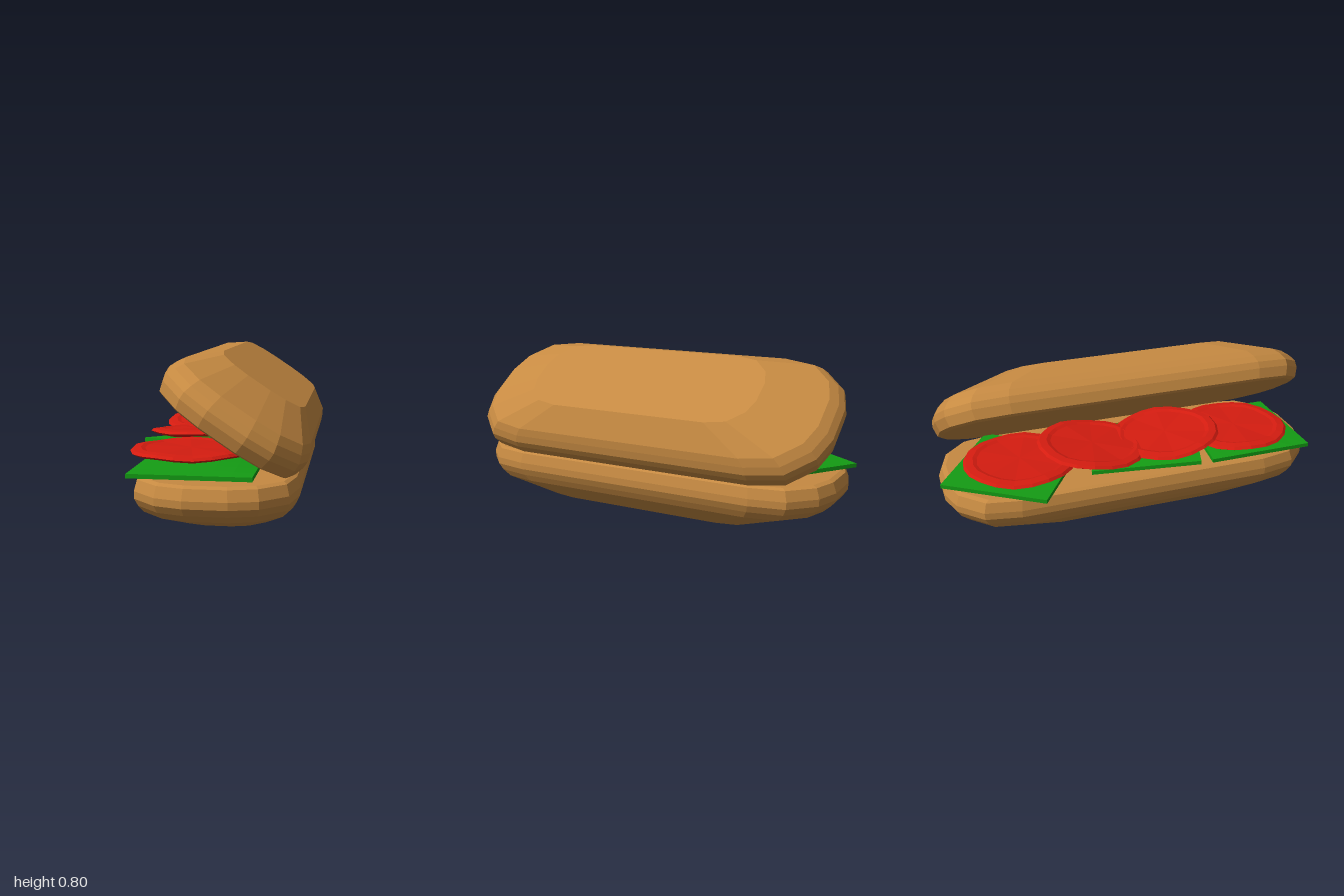
import * as THREE from 'three';

const material = (color) => new THREE.MeshStandardMaterial({ color, flatShading: true });

// Half bun: stadium-shaped rings [y, half width, half length], closed by flat caps
function bunGeometry() {
  const rings = [
    [0, 0.235, 0.63], [0.095, 0.345, 0.925], [0.13, 0.365, 0.965], [0.165, 0.38, 0.988],
    [0.2, 0.38, 0.99], [0.25, 0.367, 0.972], [0.26, 0.352, 0.95],
  ];
  const quarter = [[1, 0], [0.91, 0.53], [0.6, 0.88], [0.26, 1]];
  const end = [...quarter, ...quarter.map(([x, z]) => [-x, z]).reverse()];
  const n = end.length * 2;
  const positions = [], index = [];
  for (const [y, w, l] of rings) {
    const depth = 0.88 * w;
    for (const s of [1, -1]) {
      for (const [x, z] of end) positions.push(s * x * w, y, s * (l - depth + z * depth));
    }
  }
  for (let r = 0; r < rings.length - 1; r++) {
    for (let i = 0; i < n; i++) {
      const a = r * n + i, b = r * n + (i + 1) % n;
      index.push(a, a + n, b, b, a + n, b + n);
    }
  }
  const top = (rings.length - 1) * n;
  for (let i = 1; i < n - 1; i++) {
    index.push(0, i, i + 1, top, top + i + 1, top + i);
  }
  const geometry = new THREE.BufferGeometry();
  geometry.setAttribute('position', new THREE.Float32BufferAttribute(positions, 3));
  geometry.setIndex(index);
  const flat = geometry.toNonIndexed();
  flat.computeVertexNormals();
  return flat;
}

// Move each vertex up or down by a rule of its x and z
function displace(geometry, rule) {
  const p = geometry.attributes.position;
  for (let i = 0; i < p.count; i++) p.setY(i, p.getY(i) + rule(p.getX(i), p.getZ(i)));
  geometry.computeVertexNormals();
  return geometry;
}

// Thin square leaf, bent by a rule
function leafGeometry(rule) {
  return displace(new THREE.BoxGeometry(0.555, 0.02, 0.555, 6, 1, 6), rule);
}

// Round slice with a raised, slightly wavy rim
function sliceGeometry() {
  const profile = [
    [0, -0.012], [0.262, -0.012], [0.284, 0], [0.272, 0.012], [0.235, 0.017], [0.215, 0.011], [0, 0.011],
  ].map(([x, y]) => new THREE.Vector2(x, y));
  return displace(new THREE.LatheGeometry(profile, 20), (x, z) => {
    const r = Math.hypot(x, z);
    return r > 0.1 ? 0.004 * Math.sin(5 * Math.atan2(z, x)) * (r / 0.28) : 0;
  });
}

export function createModel() {
  const model = new THREE.Group();
  const bread = material(0xc68a42);
  const green = material(0x149c14);
  const red = material(0xd41c10);

  const add = (name, geometry, mat, position, rotation = [0, 0, 0]) => {
    const mesh = new THREE.Mesh(geometry, mat);
    mesh.name = name;
    mesh.position.set(...position);
    mesh.rotation.set(...rotation, 'YXZ');
    model.add(mesh);
  };

  // Lower half lies flat, upper half is the same shape turned over and tilted open
  add('bottomBun', bunGeometry(), bread, [0.015, 0, 0.005]);
  add('topBun', bunGeometry().rotateX(Math.PI), bread, [0.205, 0.67, 0.005], [0, 0, -0.588]);

  // Lettuce: front leaf arches towards its back edge, the middle one leans, the back one is flat
  const arch = (x, z) => 0.035 * (0.5 - z / 0.555) * Math.cos(Math.PI * x / 0.555);
  add('frontLettuce', leafGeometry(arch), green, [-0.068, 0.285, 0.642]);
  add('middleLettuce', leafGeometry((x) => -0.15 * Math.max(0, x - 0.15)), green,
    [-0.075, 0.308, 0.085], [-0.1, -0.31, 0]);
  add('backLettuce', leafGeometry(() => 0), green, [-0.06, 0.281, -0.62], [0, -0.59, 0.01]);

  // Tomato slices: outer two lie low, the inner two lean up over them
  const slices = [[-0.6, 0.348, 0], [-0.22, 0.372, 0.09], [0.18, 0.372, -0.09], [0.58, 0.348, 0]];
  slices.forEach(([z, y, tilt], i) => {
    add(`tomatoSlice${i + 1}`, sliceGeometry(), red, [-0.12, y, z], [tilt, i * 0.7, 0]);
    model.children.at(-1).rotation.order = 'XYZ';
  });

  return model;
}
